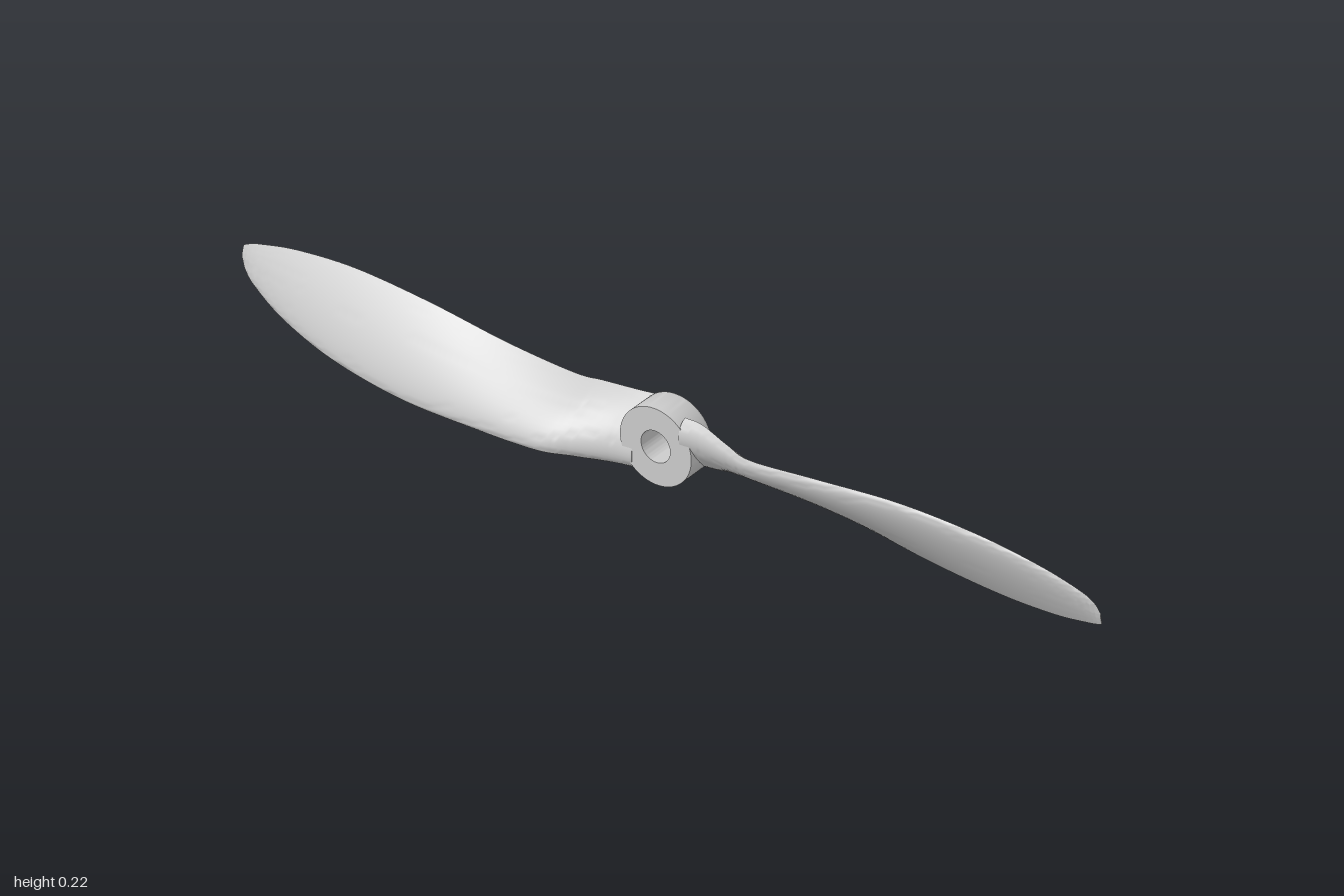
import * as THREE from 'three';
import { toCreasedNormals } from 'three/addons/utils/BufferGeometryUtils.js';

const CENTRE_Y = 0.109;
const material = new THREE.MeshStandardMaterial({ color: 0xcccccc, side: THREE.DoubleSide });

// Blade stations: x, leading edge (y, z), trailing edge (y, z), thickness
const stations = [
  [0.055, 0.185, 0.0, 0.05, -0.055, 0.036],
  [0.1, 0.189, 0.006, 0.057, -0.055, 0.034],
  [0.18, 0.19, 0.035, 0.071, -0.06, 0.03],
  [0.25, 0.193, 0.056, 0.08, -0.06, 0.026],
  [0.4, 0.206, 0.05, 0.068, -0.053, 0.023],
  [0.58, 0.217, 0.037, 0.047, -0.051, 0.019],
  [0.75, 0.205, 0.02, 0.038, -0.05, 0.015],
  [0.88, 0.176, 0.0, 0.046, -0.045, 0.011],
  [0.96, 0.143, -0.018, 0.061, -0.04, 0.007],
  [0.988, 0.122, -0.026, 0.069, -0.037, 0.004],
  [1.0, 0.1, -0.031, 0.075, -0.035, 0.002],
];

// Loft of flat-backed aerofoil sections, humped on the front face
function bladeGeometry() {
  const curve = (f) => new THREE.CatmullRomCurve3(stations.map(f), false, 'catmullrom', 0.5);
  const leading = curve((s) => new THREE.Vector3(s[0], s[1] - CENTRE_Y, s[2]));
  const trailing = curve((s) => new THREE.Vector3(s[0], s[3] - CENTRE_Y, s[4]));
  const thickness = curve((s) => new THREE.Vector3(s[0], s[5], 0));
  const rows = 80, front = 20, back = 8, ring = front + back;
  const positions = [], index = [];

  for (let i = 0; i <= rows; i++) {
    const u = i / rows;
    const a = leading.getPoint(u), b = trailing.getPoint(u);
    const t = thickness.getPoint(u).y;
    const chord = b.clone().sub(a);
    const normal = new THREE.Vector3(0, chord.z, -chord.y).normalize();
    for (let j = 0; j < ring; j++) {
      const onFront = j <= front;
      const s = onFront ? (1 - Math.cos((Math.PI * j) / front)) / 2 : 1 - (j - front) / back;
      const h = onFront ? t * 2.6 * Math.sqrt(s) * (1 - s) : -t * 0.12 * Math.sin(Math.PI * s);
      const p = a.clone().addScaledVector(chord, s).addScaledVector(normal, h);
      positions.push(p.x, p.y, p.z);
    }
  }
  for (let i = 0; i < rows; i++) {
    for (let j = 0; j < ring; j++) {
      const k = (j + 1) % ring;
      const p = i * ring + j, q = i * ring + k;
      index.push(p, q, p + ring, q, q + ring, p + ring);
    }
  }
  // Root and tip caps
  const tip = rows * ring;
  for (let j = 1; j < ring - 1; j++) {
    index.push(0, j + 1, j, tip, tip + j, tip + j + 1);
  }
  const geometry = new THREE.BufferGeometry();
  geometry.setAttribute('position', new THREE.Float32BufferAttribute(positions, 3));
  geometry.setIndex(index);
  return toCreasedNormals(geometry, 0.8);
}

// Bored hub, sharp at the front and rounded at the back rim
function hubGeometry() {
  const bore = 0.034, radius = 0.083, zBack = -0.052, zFront = 0.018, round = 0.008;
  const profile = [new THREE.Vector2(bore, zBack)];
  for (let i = 0; i <= 6; i++) {
    const a = (i / 6) * Math.PI / 2;
    profile.push(new THREE.Vector2(
      radius - round + round * Math.sin(a), zBack + round - round * Math.cos(a)));
  }
  profile.push(
    new THREE.Vector2(radius, zFront),
    new THREE.Vector2(bore, zFront),
    new THREE.Vector2(bore, zBack));
  const geometry = new THREE.LatheGeometry(profile, 72);
  geometry.rotateX(Math.PI / 2);
  return toCreasedNormals(geometry, 0.6);
}

export function createModel() {
  const propeller = new THREE.Group();
  propeller.name = 'propeller';

  const hub = new THREE.Mesh(hubGeometry(), material);
  hub.name = 'hub';
  hub.position.y = CENTRE_Y;
  propeller.add(hub);

  // Two identical blades, half a turn apart
  const blade = bladeGeometry();
  ['leftBlade', 'rightBlade'].forEach((name, i) => {
    const mesh = new THREE.Mesh(blade, material);
    mesh.name = name;
    mesh.position.y = CENTRE_Y;
    mesh.rotation.z = i * Math.PI;
    propeller.add(mesh);
  });
  return propeller;
}
